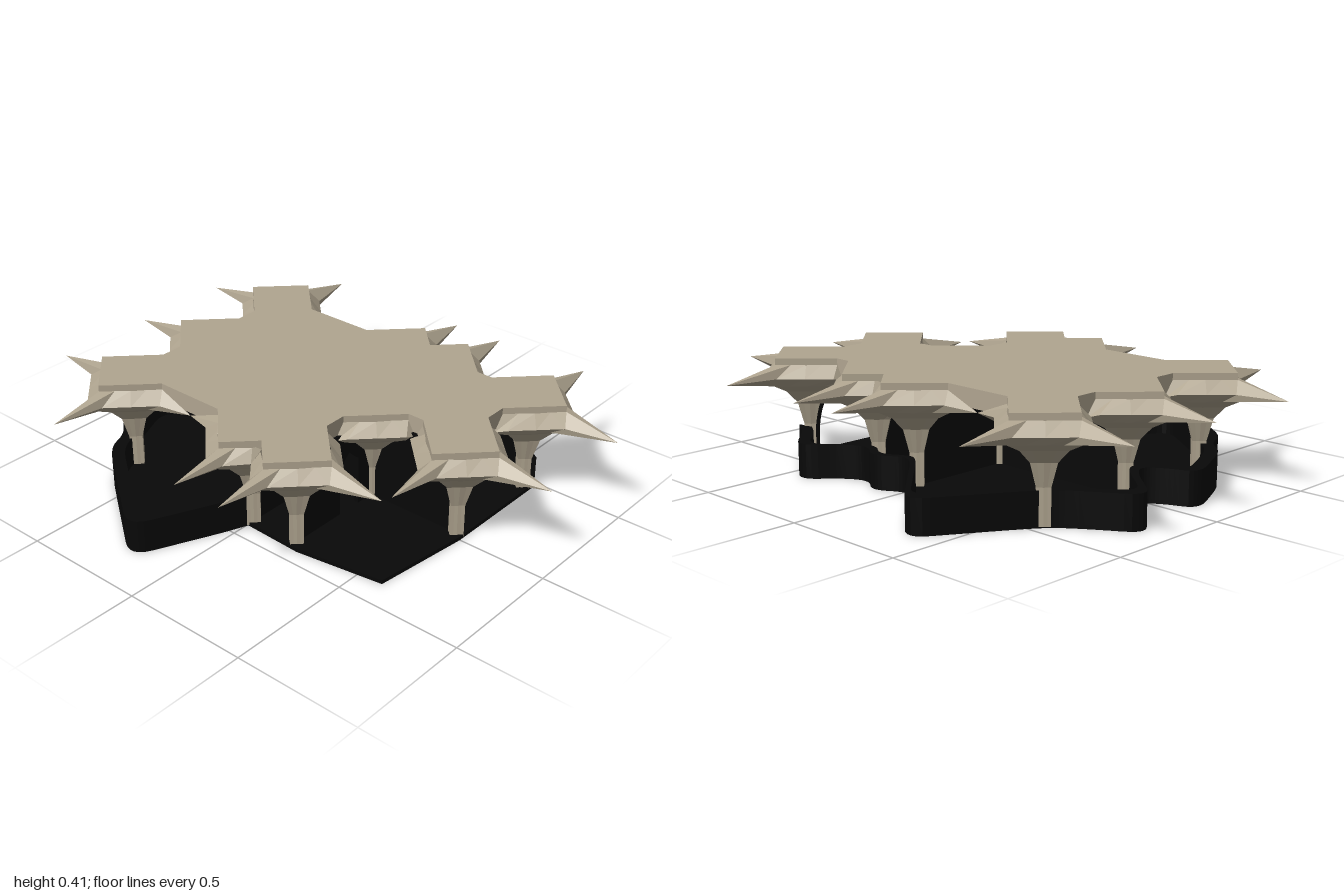
import * as THREE from 'three';

const X = [-0.615, 0.005, 0.215, 0.61], Z = [-0.44, -0.02, 0.4]; // column grid
const hasColumn = (i, j) => i >= 0 && i < 4 && j >= 0 && j < 3 && !(i === 3 && j === 2);
const SPIKE = 0.385, D = 0.165; // spike reach and half diagonal of the roof points

const stone = new THREE.MeshStandardMaterial({ color: 0xb0a590, flatShading: true, side: THREE.DoubleSide });
const dark = new THREE.MeshStandardMaterial({ color: 0x080808, side: THREE.DoubleSide });

function add(group, name, geometry, material) {
  const mesh = new THREE.Mesh(geometry, material);
  mesh.name = name;
  group.add(mesh);
  return mesh;
}

// Extrudes a plan shape (drawn with y = -z) upward from y0 to y1
function slab(shape, y0, y1) {
  return new THREE.ExtrudeGeometry(shape, { depth: y1 - y0, bevelEnabled: false, curveSegments: 6 })
    .rotateX(-Math.PI / 2).translate(0, y0, 0);
}

// Samples a polyline in plan with softened inner corners
function softPath(pts, r = 0.09) {
  const v = pts.map(([x, z]) => new THREE.Vector2(x, -z));
  const out = [v[0]];
  for (let i = 1; i < v.length - 1; i++) {
    const toward = (p) => {
      const d = p.clone().sub(v[i]);
      return v[i].clone().add(d.setLength(Math.min(r, d.length() * 0.45)));
    };
    out.push(...new THREE.QuadraticBezierCurve(toward(v[i - 1]), v[i], toward(v[i + 1])).getPoints(6));
  }
  out.push(v[v.length - 1]);
  return out;
}

// Column flaring into a star-shaped capital: spikes outward, arches toward neighbours
function columnGeometry(i, j) {
  const dirs = [[1, 0], [0, 1], [-1, 0], [0, -1]];
  const half = dirs.map(([dx, dz]) => hasColumn(i + dx, j + dz)
    ? Math.abs(dx ? X[i + dx] - X[i] : Z[j + dz] - Z[j]) / 2 : null);
  const levels = [[0.005, 0.036], [0.14, 0.036], [0.23, 0.065], [0.28, 0.115], [0.31, 0.175], [0.345, 'star'], [0.39, D]];
  const rings = levels.map(([y, a]) => {
    const ring = [];
    dirs.forEach((d, k) => {
      const e = dirs[(k + 1) % 4], hu = half[k], hv = half[(k + 1) % 4];
      const star = a === 'star';
      const quarter = star
        ? [[hu ?? SPIKE, 0], [0.19, 0.04], [0.115, 0.115], [0.04, 0.19]]
        : [[a, 0], [a * 0.75, a * 0.25], [a * 0.52, a * 0.52], [a * 0.25, a * 0.75]];
      quarter.forEach(([u, v], n) => {
        u = Math.min(u, hu ?? 1);
        v = Math.min(v, hv ?? 1);
        const h = star && n === 0 && hu !== null ? 0.333 : y;
        ring.push([X[i] + u * d[0] + v * e[0], h, Z[j] + u * d[1] + v * e[1]]);
      });
    });
    return ring;
  });
  const pos = [];
  for (let l = 0; l < rings.length - 1; l++) {
    for (let n = 0; n < 16; n++) {
      const m = (n + 1) % 16, lo = rings[l], hi = rings[l + 1];
      pos.push(...lo[n], ...hi[n], ...lo[m], ...hi[n], ...hi[m], ...lo[m]);
    }
  }
  const geometry = new THREE.BufferGeometry();
  geometry.setAttribute('position', new THREE.Float32BufferAttribute(pos, 3));
  geometry.computeVertexNormals();
  return geometry;
}

// Pointed door outline centred on c
function doorPath(c, Type, y0 = 0.015) {
  const p = new Type();
  p.moveTo(c - 0.052, y0);
  p.lineTo(c + 0.052, y0);
  p.lineTo(c + 0.052, 0.21);
  p.lineTo(c, 0.26);
  p.lineTo(c - 0.052, 0.21);
  p.closePath();
  return p;
}

// Wall in the plane x = const with pointed doorways
function crossWall(x, doors) {
  const s = new THREE.Shape([[Z[0], 0.01], [Z[2], 0.01], [Z[2], 0.35], [Z[0], 0.35]].map((p) => new THREE.Vector2(...p)));
  doors.forEach((c) => s.holes.push(doorPath(c, THREE.Path)));
  return new THREE.ExtrudeGeometry(s, { depth: 0.02, bevelEnabled: false })
    .rotateY(-Math.PI / 2).translate(x + 0.01, 0, 0);
}

export function createModel() {
  const model = new THREE.Group();
  model.name = 'pavilion';

  // Roof slab with a point above every outer column
  const [a, b, c, d] = X, [p, q, r] = Z, mid = (b + c) / 2;
  const roof = [
    [a, p - D], [a + D, p], [b - D, p], [b, p - D], [mid, p - 0.06], [c, p - D], [c + D, p], [d - D, p],
    [d, p - D], [d + D, p], [d, p + D], [d, q - D], [d + D, q], [d, q + D], [d - D, q], [c + D, q],
    [c, q + D], [c, r - D], [c + D, r], [c, r + D], [mid, r + 0.06], [b, r + D], [b - D, r], [a + D, r],
    [a, r + D], [a - D, r], [a, r - D], [a, q + D], [a - D, q], [a, q - D], [a, p + D], [a - D, p],
  ];
  add(model, 'roofSlab', slab(new THREE.Shape(roof.map(([x, z]) => new THREE.Vector2(x, -z))), 0.345, 0.415), stone);

  // Columns with spiked capitals
  const columns = new THREE.Group();
  columns.name = 'columns';
  for (let i = 0; i < 4; i++) {
    for (let j = 0; j < 3; j++) {
      if (hasColumn(i, j)) add(columns, `column${i}${j}`, columnGeometry(i, j), stone);
    }
  }
  model.add(columns);

  // Floor plate and the low parapet running around its bays
  const edge = softPath([
    [0.005, 0.43], [-0.03, 0.52], [-0.18, 0.85], [-0.62, 0.53], [-0.66, 0.42], [-0.75, 0.35], [-0.87, 0.08],
    [-0.74, 0.03], [-0.68, -0.02], [-0.73, -0.09], [-0.92, -0.25], [-0.73, -0.37], [-0.64, -0.44],
    [-0.56, -0.56], [-0.38, -0.85], [-0.06, -0.53], [0, -0.5], [0.11, -0.57], [0.2, -0.5], [0.29, -0.54],
    [0.41, -0.675], [0.54, -0.54], [0.645, -0.475],
  ]);
  const front = [[0.645, 0], [0.6, 0.39], [0.25, 0.44]].map(([x, z]) => new THREE.Vector2(x, -z));
  add(model, 'floorPlate', slab(new THREE.Shape([...edge, ...front]), 0, 0.015), dark);
  const centre = new THREE.Vector2(0, 0.02);
  const inner = edge.map((v) => v.clone().sub(centre).multiplyScalar(0.94).add(centre)).reverse();
  add(model, 'parapet', slab(new THREE.Shape([...edge, ...inner]), 0, 0.13), dark);

  // Inner walls with doorways
  add(model, 'rightCrossWall', crossWall(c, [0.12, -0.155]), dark);
  add(model, 'leftCrossWall', crossWall(b, [0.12]), dark);
  add(model, 'longWall', new THREE.BoxGeometry(d - a, 0.34, 0.02), dark).position.set((a + d) / 2, 0.18, q);
  const door = new THREE.ExtrudeGeometry(doorPath(-0.155, THREE.Shape), { depth: 0.01, bevelEnabled: false })
    .rotateY(-Math.PI / 2).translate(c + 0.005, 0, 0);
  add(model, 'doorPanel', door, stone);

  // Thin arch frame in the open back bay
  const arch = new THREE.CatmullRomCurve3([
    [0.25, 0.02], [0.255, 0.15], [0.29, 0.24], [0.35, 0.295], [0.4125, 0.305], [0.475, 0.295], [0.535, 0.24],
    [0.57, 0.15], [0.575, 0.02],
  ].map(([x, y]) => new THREE.Vector3(x, y, p)));
  add(model, 'archFrame', new THREE.TubeGeometry(arch, 32, 0.008, 6), dark);

  // Steps in the front room
  const steps = new THREE.Group();
  steps.name = 'steps';
  for (let i = 0; i < 4; i++) {
    const h = 0.025 * (i + 1);
    add(steps, `step${i}`, new THREE.BoxGeometry(0.04, h, 0.2), dark).position.set(-0.25 - i * 0.04, 0.015 + h / 2, 0.12);
  }
  model.add(steps);

  return model;
}
